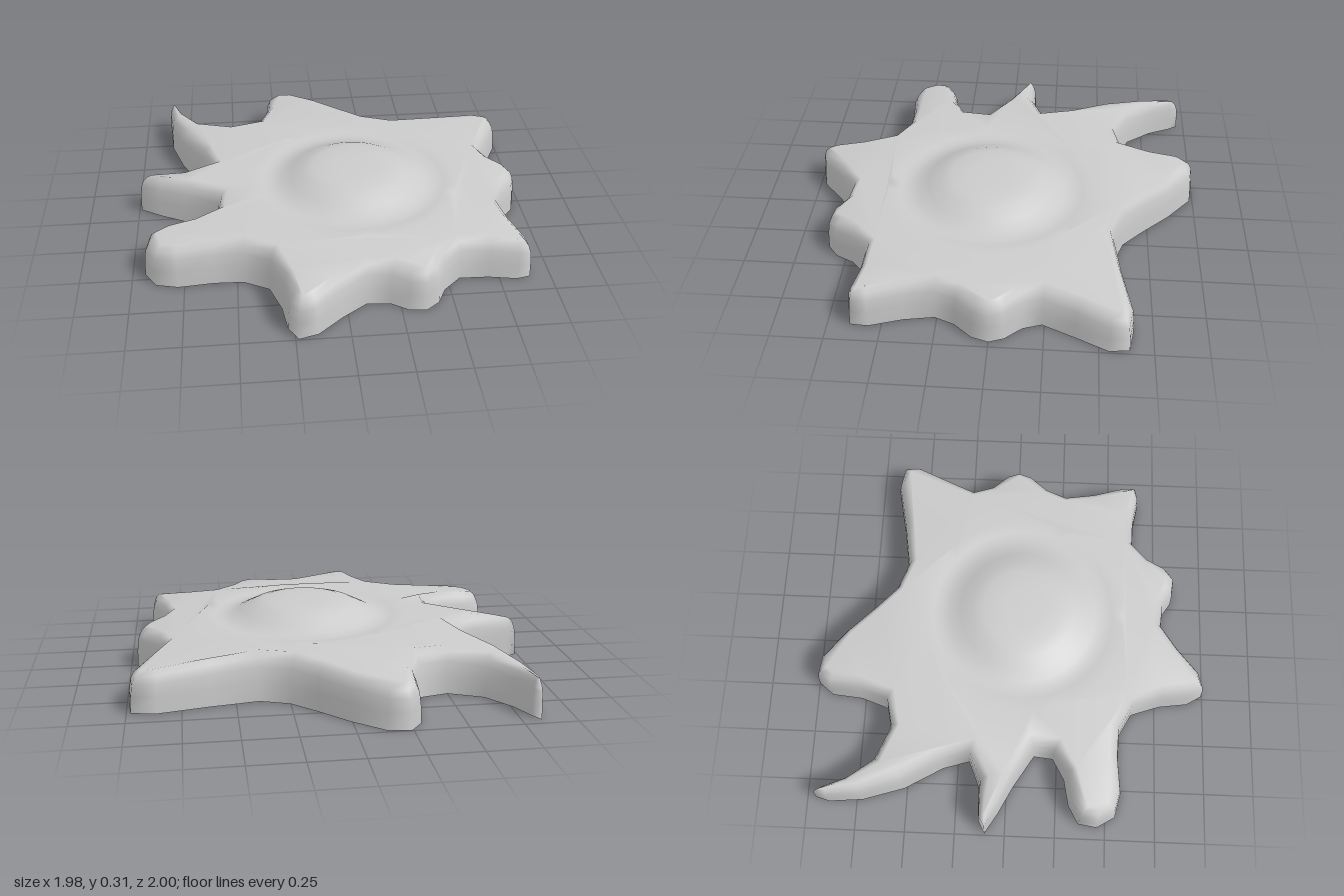
import * as THREE from 'three';

// Splat outline seen from above, x and z pairs
const OUTLINE = [
  -.84, -.96, -.81, -.91, -.76, -.80, -.66, -.67, -.50, -.60, -.365, -.63, -.315, -.77, -.30, -.925,
  -.24, -1, -.135, -.985, .01, -.865, .14, -.73, .25, -.625, .39, -.575, .615, -.61, .86, -.66,
  .98, -.64, .99, -.545, .915, -.39, .845, -.24, .875, -.15, .945, -.07, .97, 0, .945, .08,
  .87, .165, .83, .26, .855, .405, .905, .56, .90, .645, .835, .66, .70, .635, .56, .63,
  .475, .71, .43, .80, .365, .85, .28, .84, .205, .79, .095, .78, -.025, .865, -.145, .97,
  -.235, .995, -.28, .92, -.30, .775, -.35, .63, -.47, .565, -.61, .56, -.78, .575, -.885, .55,
  -.94, .46, -.925, .365, -.835, .315, -.705, .29, -.60, .23, -.59, .135, -.75, .035, -.885, -.035,
  -.99, -.10, -.93, -.135, -.76, -.14, -.63, -.195, -.67, -.325, -.78, -.515, -.845, -.72, -.86, -.89,
];
// Rim steps: inset from the outline, share of the local height
const RIM = [[0, 0], [.004, .4], [.012, .7], [.028, .88], [.055, 1]];
// Dome steps: radius, height
const DOME = [[.52, .238], [.46, .23], [.42, .226], [.37, .235], [.32, .26], [.26, .29], [.2, .308], [.1, .312]];
const DOME_X = .11, DOME_Z = .05, DOME_SIDES = 48;

const cross = (a, b) => a.x * b.y - a.y * b.x;

// Distance from p along dir to the far side of the outline
function thickness(pts, i, dir) {
  let best = 10;
  const n = pts.length;
  for (let k = 0; k < n; k++) {
    if (k === i || (k + 1) % n === i) continue;
    const e = pts[(k + 1) % n].clone().sub(pts[k]);
    const w = pts[k].clone().sub(pts[i]);
    const den = cross(dir, e);
    if (Math.abs(den) < 1e-9) continue;
    const t = cross(w, e) / den, u = cross(w, dir) / den;
    if (t > 0 && u >= 0 && u <= 1) best = Math.min(best, t);
  }
  return best;
}

// Inward move of every outline point at full inset, kept small on thin spikes
function insetVectors(pts) {
  const n = pts.length, full = RIM[RIM.length - 1][0];
  return pts.map((p, i) => {
    const e1 = p.clone().sub(pts[(i + n - 1) % n]), e2 = pts[(i + 1) % n].clone().sub(p);
    const shortest = Math.min(e1.length(), e2.length());
    e1.normalize();
    e2.normalize();
    const t = e1.clone().add(e2).normalize();
    const dir = new THREE.Vector2(-t.y, t.x);
    const miter = Math.min(1.6, 1 / Math.max(.1, t.dot(e1)));
    const size = Math.min(full * miter, .35 * thickness(pts, i, dir), .7 * shortest);
    return dir.multiplyScalar(size);
  });
}

export function createModel() {
  const pts = [];
  for (let i = 0; i < OUTLINE.length; i += 2) pts.push(new THREE.Vector2(OUTLINE[i], OUTLINE[i + 1]));
  const n = pts.length, moves = insetVectors(pts);
  const pos = [], index = [];

  // Joins two neighbouring rings of equal count with outward faces
  const bridge = (lower, upper, count) => {
    for (let j = 0; j < count; j++) {
      const k = (j + 1) % count;
      index.push(lower + j, upper + j, lower + k, lower + k, upper + j, upper + k);
    }
  };

  // Side wall and rounded rim, lower towards the spike tips
  let rim = [];
  RIM.forEach(([inset, share], r) => {
    rim = pts.map((p, i) => p.clone().addScaledVector(moves[i], inset / .055));
    rim.forEach((p, i) => {
      const height = .24 - .1 * Math.max(0, pts[i].length() - .65);
      pos.push(p.x, height * share, p.y);
    });
    if (r) bridge((r - 1) * n, r * n, n);
  });

  // Shallow groove and raised dome
  const rimStart = (RIM.length - 1) * n, domeStart = RIM.length * n;
  const hole = [];
  DOME.forEach(([radius, y], r) => {
    for (let j = 0; j < DOME_SIDES; j++) {
      const a = j / DOME_SIDES * Math.PI * 2;
      const x = DOME_X + radius * Math.cos(a), z = DOME_Z + radius * Math.sin(a);
      pos.push(x, y, z);
      if (!r) hole.push(new THREE.Vector2(x, z));
    }
    if (r) bridge(domeStart + (r - 1) * DOME_SIDES, domeStart + r * DOME_SIDES, DOME_SIDES);
  });
  const centre = pos.length / 3, last = centre - DOME_SIDES;
  pos.push(DOME_X, .312, DOME_Z);
  for (let j = 0; j < DOME_SIDES; j++) index.push(last + j, centre, last + (j + 1) % DOME_SIDES);

  // Flat top between the rim and the groove
  const all = [...rim, ...hole];
  const id = (i) => (i < n ? rimStart + i : domeStart + i - n);
  for (const [a, b, c] of THREE.ShapeUtils.triangulateShape(rim.slice(), [hole.slice()])) {
    const turn = cross(all[b].clone().sub(all[a]), all[c].clone().sub(all[a]));
    if (turn > 0) index.push(id(a), id(c), id(b));
    else index.push(id(a), id(b), id(c));
  }

  const geometry = new THREE.BufferGeometry();
  geometry.setAttribute('position', new THREE.Float32BufferAttribute(pos, 3));
  geometry.setIndex(index);
  geometry.computeVertexNormals();

  const splat = new THREE.Mesh(geometry, new THREE.MeshStandardMaterial({ color: 0xcccccc, side: THREE.DoubleSide }));
  splat.name = 'splatShell';
  const group = new THREE.Group();
  group.name = 'splat';
  group.add(splat);
  return group;
}
